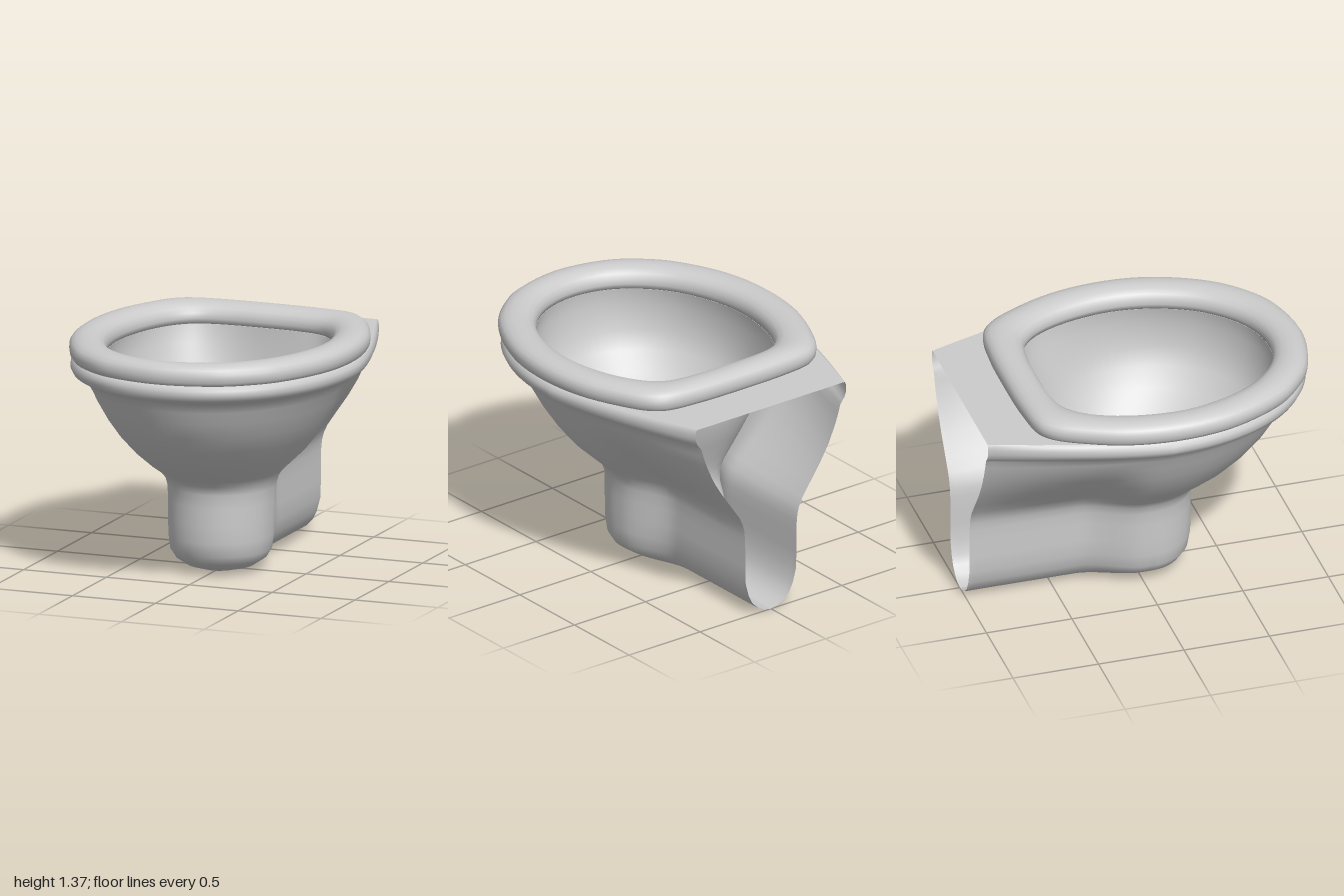
import * as THREE from 'three';

const grey = new THREE.MeshStandardMaterial({ color: 0xcccccc, side: THREE.DoubleSide });
const { clamp, lerp, smoothstep } = THREE.MathUtils;

// Skin a list of equally long point rows into a smooth surface
function loft(rows, wrapCols = false, wrapRows = false) {
  const n = rows[0].length, m = rows.length, index = [];
  for (let i = 0; i < (wrapRows ? m : m - 1); i++) {
    for (let j = 0; j < (wrapCols ? n : n - 1); j++) {
      const k = (j + 1) % n, r = (i + 1) % m;
      const a = i * n + j, b = i * n + k, c = r * n + k, d = r * n + j;
      index.push(a, b, c, a, c, d);
    }
  }
  const geo = new THREE.BufferGeometry().setFromPoints(rows.flat());
  geo.setIndex(index);
  geo.computeVertexNormals();
  return geo;
}

function part(name, geo) {
  const mesh = new THREE.Mesh(geo, grey);
  mesh.name = name;
  return mesh;
}

// Symmetric closed outline from [x, z] points running front to back on the +x side
function outline(half, count = 96) {
  const mirrored = half.slice(1, -1).reverse().map(([x, z]) => [-x, z]);
  const pts = [...half, ...mirrored].map(([x, z]) => new THREE.Vector3(x, 0, z));
  const curve = new THREE.CatmullRomCurve3(pts, true, 'centripetal');
  return Array.from({ length: count }, (_, i) => curve.getPoint(i / count));
}

// U-shaped horizontal section, open at the back: half width, front z, back half width.
// Low sections neck in behind the front bulb, high ones taper evenly.
function shellRow([y, w, front, back]) {
  const zc = 0.05 * (1 - y / 1.25);
  const e = 2 / (2 + 0.12 * smoothstep(y, 0.7, 1.2));
  const even = clamp((y - 0.5) / 0.5, 0, 1);
  const half = [];
  for (let i = 0; i <= 28; i++) {
    const t = 1 - i / 28;
    const f = lerp(1 - smoothstep(t, 0.04, 0.39), 1 - t ** 1.4, even);
    half.push([back + (w - back) * f, zc - t * (zc + 1)]);
  }
  for (let i = 1; i <= 24; i++) {
    const a = (i / 24) * Math.PI / 2;
    half.push([w * Math.max(0, Math.cos(a)) ** e, zc + (front - zc) * Math.sin(a) ** e]);
  }
  half[half.length - 1][0] = 0;
  const left = half.map(([x, z]) => new THREE.Vector3(-x, y, z));
  const right = half.slice(0, -1).reverse().map(([x, z]) => new THREE.Vector3(x, y, z));
  return [...left, ...right];
}

// y, half width, front z, back half width
const shellLevels = [
  [0, 0, 0.05, 0], [0.008, 0.1, 0.15, 0.045], [0.03, 0.19, 0.22, 0.09],
  [0.07, 0.25, 0.28, 0.13], [0.12, 0.28, 0.318, 0.155], [0.2, 0.29, 0.333, 0.177],
  [0.3, 0.293, 0.335, 0.18], [0.4, 0.295, 0.335, 0.18], [0.48, 0.298, 0.336, 0.182],
  [0.53, 0.312, 0.355, 0.187], [0.57, 0.338, 0.405, 0.197], [0.62, 0.39, 0.495, 0.22],
  [0.7, 0.475, 0.6, 0.275], [0.8, 0.555, 0.707, 0.345], [0.9, 0.617, 0.787, 0.405],
  [1.0, 0.668, 0.845, 0.45], [1.07, 0.7, 0.873, 0.475], [1.12, 0.73, 0.9, 0.49],
  [1.14, 0.765, 0.935, 0.505], [1.16, 0.8, 0.968, 0.52], [1.19, 0.815, 0.983, 0.53],
  [1.22, 0.812, 0.98, 0.53], [1.24, 0.795, 0.965, 0.527], [1.25, 0.77, 0.935, 0.52],
];

const seatOuter = outline([[0, 1], [0.33, 0.931], [0.49, 0.828], [0.622, 0.69], [0.773, 0.37], [0.815, 0.05],
  [0.778, -0.25], [0.68, -0.5], [0.595, -0.645], [0.51, -0.708], [0.3, -0.738], [0, -0.745]]);
const seatInner = outline([[0, 0.805], [0.24, 0.747], [0.45, 0.565], [0.57, 0.32], [0.61, 0.06], [0.573, -0.2],
  [0.5, -0.38], [0.43, -0.465], [0.35, -0.515], [0.2, -0.543], [0, -0.548]]);

// Inner opening refitted to a new half width, front z and back z, turning oval with depth
function bowlRow([y, w, front, back]) {
  const oval = clamp((1.25 - y) / 0.25, 0, 1);
  return seatInner.map(p => {
    const x = p.x / 0.61, v = (p.z - 0.1285) / 0.6765;
    const scale = lerp(1, 1 / Math.hypot(x, v), oval);
    return new THREE.Vector3(x * scale * w, y, (front + back) / 2 + v * scale * (front - back) / 2);
  });
}

const bowlLevels = [
  [1.25, 0.615, 0.81, -0.552], [1.15, 0.63, 0.82, -0.55], [1.0, 0.61, 0.79, -0.53],
  [0.9, 0.565, 0.74, -0.505], [0.8, 0.495, 0.65, -0.465], [0.7, 0.41, 0.53, -0.425],
  [0.62, 0.32, 0.4, -0.4], [0.56, 0.255, 0.26, -0.395], [0.5, 0.215, 0.1, -0.41],
  [0.44, 0.185, -0.06, -0.45], [0.38, 0.155, -0.2, -0.48], [0.34, 0.12, -0.28, -0.49],
  [0.32, 0, -0.39, -0.39],
];

// Seat section: 0 = outer edge, 1 = inner edge, then height
const seatSection = [
  [0.07, 1.251], [0.015, 1.27], [0, 1.295], [0.01, 1.32], [0.07, 1.34], [0.18, 1.358],
  [0.35, 1.367], [0.55, 1.367], [0.75, 1.357], [0.9, 1.337], [0.98, 1.31], [1, 1.28], [0.97, 1.251],
];

export function createModel() {
  const group = new THREE.Group();
  group.name = 'toilet';

  // Pedestal, outer bowl and rim in one skin, open at the wall side
  const rows = shellLevels.map(shellRow);
  group.add(part('outerShell', loft(rows)));

  // Flat top with the bowl opening
  const top = rows[rows.length - 1];
  const flat = p => new THREE.Vector2(p.x, -p.z);
  const shape = new THREE.Shape(top.map(flat));
  const bowlRows = bowlLevels.map(bowlRow);
  shape.holes.push(new THREE.Path(bowlRows[0].map(flat)));
  const deck = new THREE.ShapeGeometry(shape).rotateX(-Math.PI / 2).translate(0, 1.25, 0);
  group.add(part('rimTop', deck));

  // Inner basin sloping back into the throat
  group.add(part('innerBowl', loft(bowlRows, true)));

  // Rounded seat ring
  const seatRows = seatSection.map(([t, y]) => seatOuter.map((p, i) => {
    const q = p.clone().lerp(seatInner[i], t);
    q.y = y;
    return q;
  }));
  group.add(part('seat', loft(seatRows, true, true)));

  return group;
}
